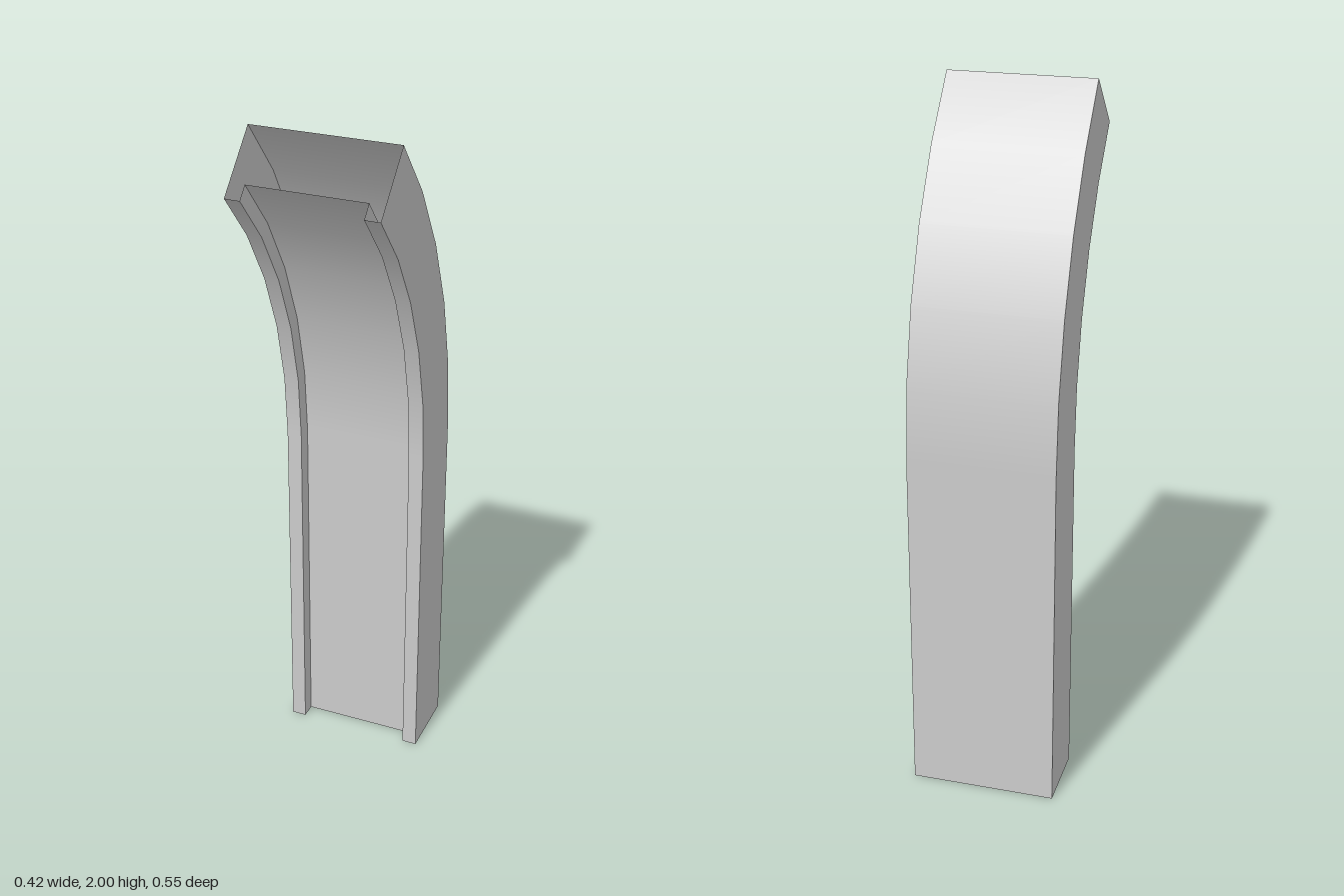
import * as THREE from 'three';

// Side profile: a straight run, then a 45 degree bend towards the front
const RADIUS = 1.39, CENTRE_Z = 1.113, CENTRE_Y = 1.017;
const BEND = Math.PI / 4, STEPS = 5;
const HALF = 0.209, INNER = 0.166, DEPTH = 0.207, RECESS = 0.162;

const material = new THREE.MeshStandardMaterial({ color: 0xcccccc, side: THREE.DoubleSide });

// Sweeps one edge of the cross-section, given as [x, distance from the back], up the profile
function sweepWall(name, [x0, d0], [x1, d1]) {
  const length = Math.hypot(x1 - x0, d1 - d0);
  const nx = (d1 - d0) / length, nd = (x0 - x1) / length;
  const positions = [], normals = [], indices = [];
  for (let row = 0; row <= STEPS + 1; row++) {
    const angle = BEND * Math.max(0, row - 1) / STEPS;
    const cos = Math.cos(angle), sin = Math.sin(angle);
    for (const [x, d] of [[x0, d0], [x1, d1]]) {
      const r = RADIUS - d;
      positions.push(x, row === 0 ? 0 : CENTRE_Y + r * sin, CENTRE_Z - r * cos);
      normals.push(nx, -nd * sin, nd * cos);
    }
    if (row > 0) {
      const a = (row - 1) * 2;
      indices.push(a + 1, a, a + 2, a + 1, a + 2, a + 3);
    }
  }
  const geometry = new THREE.BufferGeometry();
  geometry.setAttribute('position', new THREE.Float32BufferAttribute(positions, 3));
  geometry.setAttribute('normal', new THREE.Float32BufferAttribute(normals, 3));
  geometry.setIndex(indices);
  const mesh = new THREE.Mesh(geometry, material);
  mesh.name = name;
  return mesh;
}

export function createModel() {
  const group = new THREE.Group();
  group.name = 'curvedChannel';

  // Hollow cross-section, open at both ends, with a recessed front panel between two lips
  const section = [
    ['backWall', -HALF, 0],
    ['leftWall', HALF, 0],
    ['leftLip', HALF, DEPTH],
    ['leftLipInside', INNER, DEPTH],
    ['frontPanel', INNER, RECESS],
    ['rightLipInside', -INNER, RECESS],
    ['rightLip', -INNER, DEPTH],
    ['rightWall', -HALF, DEPTH],
  ];
  section.forEach(([name, x, d], i) => {
    const [, nextX, nextD] = section[(i + 1) % section.length];
    group.add(sweepWall(name, [x, d], [nextX, nextD]));
  });
  return group;
}
